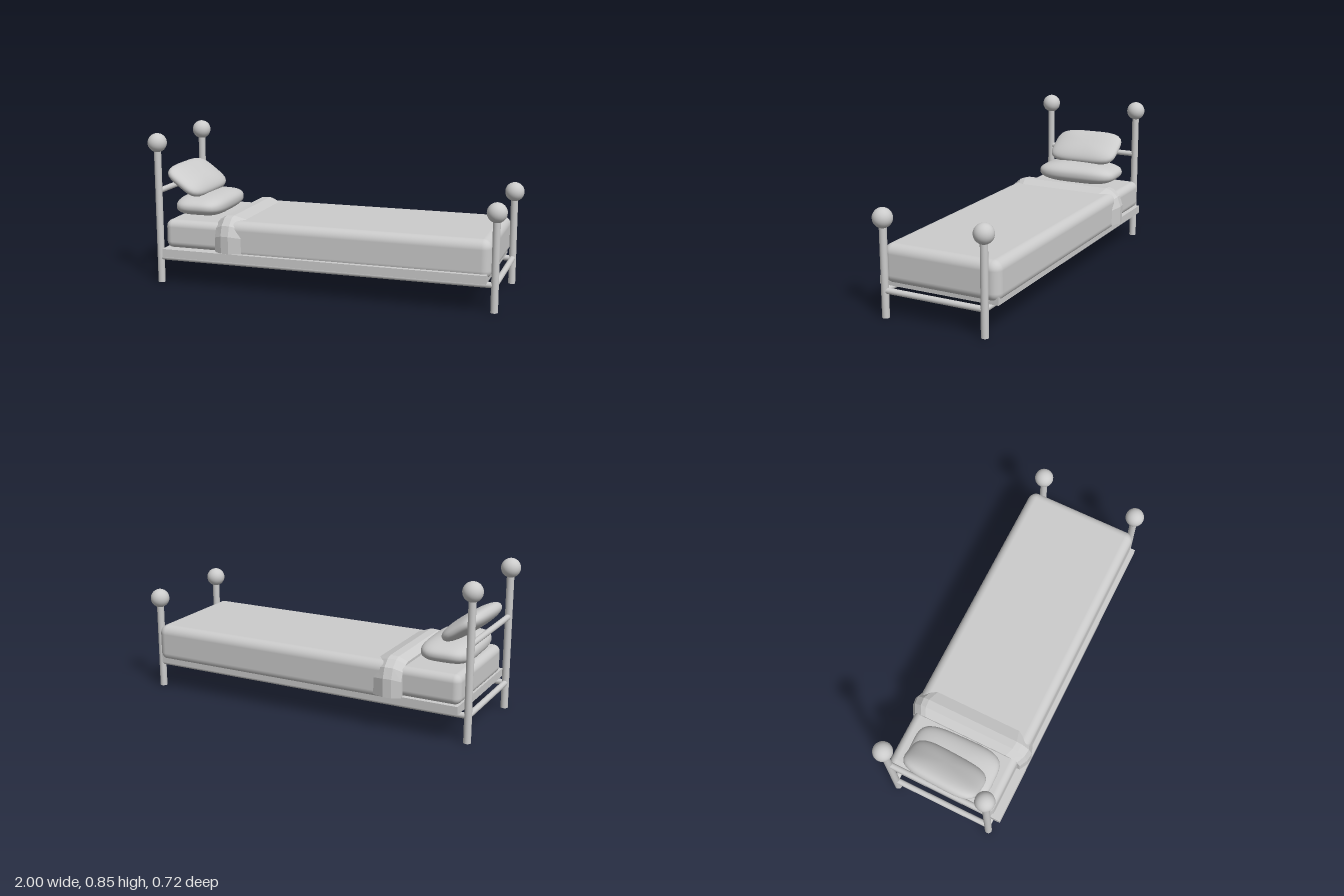
import * as THREE from 'three';
import { mergeVertices } from 'three/addons/utils/BufferGeometryUtils.js';
import { RoundedBoxGeometry } from 'three/addons/geometries/RoundedBoxGeometry.js';

const grey = new THREE.MeshStandardMaterial({ color: 0xcccccc });
const faceted = new THREE.MeshStandardMaterial({ color: 0xcccccc, flatShading: true, side: THREE.DoubleSide });

export function createModel() {
  const bed = new THREE.Group();
  bed.name = 'bed';

  const add = (name, geometry, x, y, z, material = grey) => {
    const mesh = new THREE.Mesh(geometry, material);
    mesh.name = name;
    mesh.position.set(x, y, z);
    bed.add(mesh);
    return mesh;
  };

  // Bar of the given length, along 'x', 'y' or 'z'
  const bar = (name, axis, length, radius, x, y, z) => {
    const g = new THREE.CylinderGeometry(radius, radius, length, 20);
    if (axis === 'x') g.rotateZ(Math.PI / 2);
    if (axis === 'z') g.rotateX(Math.PI / 2);
    return add(name, g, x, y, z);
  };

  // Posts with ball finials: tall at the head (-x), short at the foot
  const postX = 0.945, leftZ = 0.305, rightZ = -0.27;
  const midZ = (leftZ + rightZ) / 2, span = leftZ - rightZ;
  for (const [end, x, ballY] of [['head', -postX, 0.793], ['foot', postX, 0.525]]) {
    for (const z of [leftZ, rightZ]) {
      bar(end + 'Post', 'y', ballY, 0.02, x, ballY / 2, z);
      add(end + 'Finial', new THREE.SphereGeometry(0.053, 24, 16), x, ballY, z);
    }
    bar(end + 'LowerRail', 'z', span, 0.016, x, 0.145, midZ);
  }
  bar('headUpperRail', 'z', span, 0.016, -postX, 0.522, midZ);
  for (const z of [leftZ, rightZ]) bar('sideRail', 'x', 2 * postX, 0.016, 0, 0.145, z);

  // Base board, mattress and blanket
  add('baseBoard', new THREE.BoxGeometry(1.815, 0.045, 0.685), 0, 0.1825, 0.0175);
  add('mattress', new RoundedBoxGeometry(1.8, 0.162, 0.63, 5, 0.04), -0.012, 0.28, 0);
  add('blanket', new RoundedBoxGeometry(1.475, 0.212, 0.67, 6, 0.05), 0.1875, 0.275, 0);

  // Folded blanket cuff: an open arch section, swelling in the middle
  const half = [[0.335, 0], [0.336, 0.09], [0.318, 0.14], [0.28, 0.172], [0.25, 0.18]];
  const arch = [...half, ...half.slice().reverse().map(([z, y]) => [-z, y])];
  const rings = [ // x, width scale, height scale
    [-0.6, 0.93, 0.88], [-0.6, 0.985, 0.97], [-0.555, 1.06, 1.12],
    [-0.51, 1.075, 1.13], [-0.445, 1, 1.01],
  ];
  const positions = [], index = [];
  rings.forEach(([x, w, h], r) => arch.forEach(([z, y], i) => {
    positions.push(x, 0.2 + y * h, z * w);
    if (r === 0 || i === 0) return;
    const d = r * arch.length + i, c = d - 1, b = d - arch.length, a = b - 1;
    index.push(a, c, b, b, c, d);
  }));
  const cuff = new THREE.BufferGeometry();
  cuff.setAttribute('position', new THREE.Float32BufferAttribute(positions, 3));
  cuff.setIndex(index);
  cuff.computeVertexNormals();
  add('blanketCuff', cuff, 0, 0, 0, faceted);

  // Pillow: a sphere pushed out to a squarish plan with a soft edge
  const pillowGeometry = (a, b, c) => {
    let g = new THREE.SphereGeometry(1, 48, 32);
    g.deleteAttribute('uv');
    g.deleteAttribute('normal');
    g = mergeVertices(g, 1e-4);
    const p = g.attributes.position;
    const v = new THREE.Vector3();
    for (let i = 0; i < p.count; i++) {
      v.fromBufferAttribute(p, i);
      const plan = Math.pow(v.x ** 4 + v.z ** 4, 1 / 4);
      v.divideScalar(Math.pow(plan ** 2.4 + Math.abs(v.y) ** 2.4, 1 / 2.4));
      p.setXYZ(i, v.x * a, v.y * b, v.z * c);
    }
    g.computeVertexNormals();
    return g;
  };
  const lower = add('lowerPillow', pillowGeometry(0.144, 0.063, 0.246), -0.765, 0.422, 0.012);
  lower.rotation.set(0, 0.03, 0, 'YXZ');
  const upper = add('upperPillow', pillowGeometry(0.126, 0.049, 0.218), -0.845, 0.556, 0.014);
  upper.rotation.set(0.02, -0.04, -0.63, 'YXZ');

  return bed;
}
